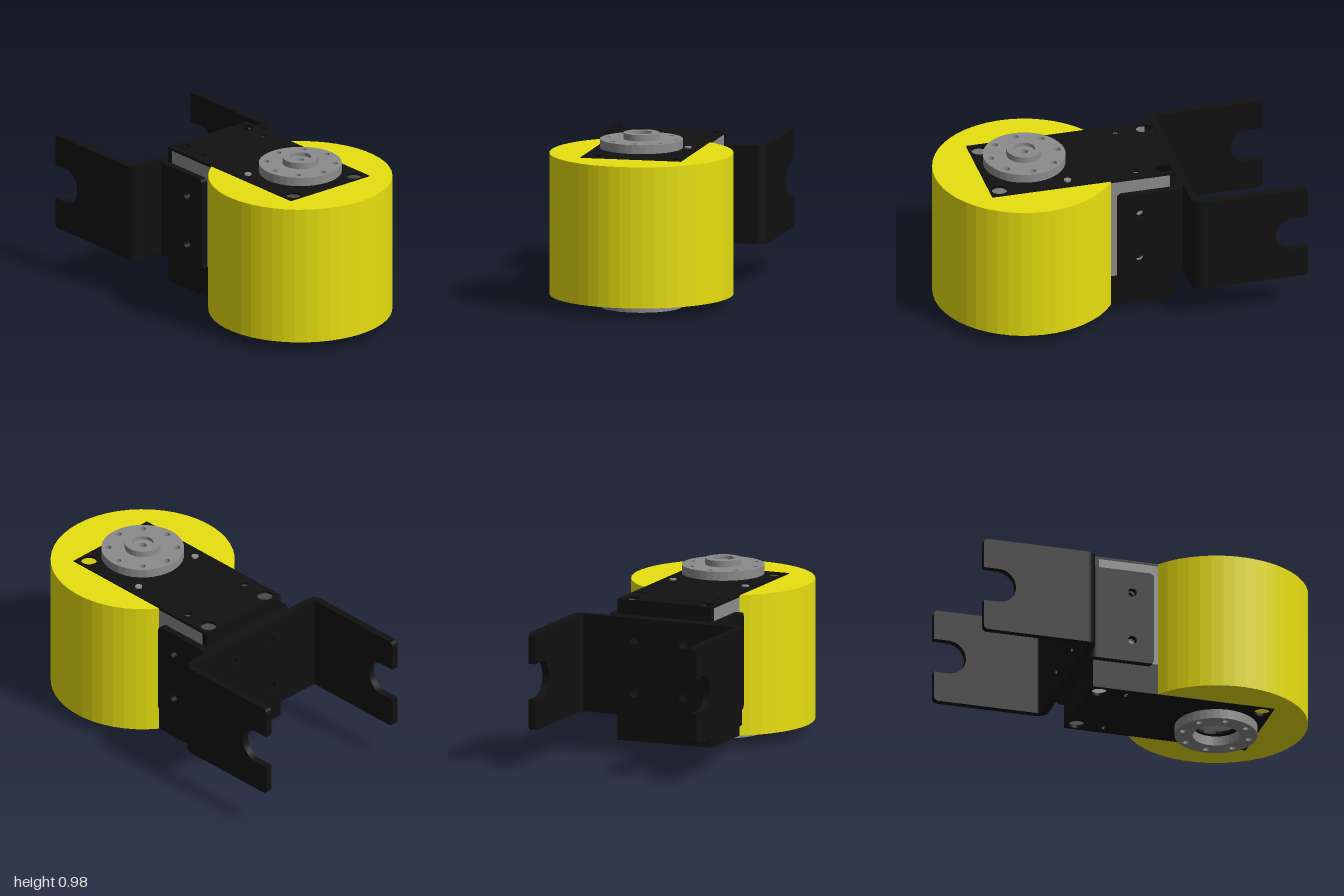
import * as THREE from 'three';

const mat = (color) => new THREE.MeshStandardMaterial({ color });
const BLACK = mat(0x111111), GREY = mat(0x8c8c8c), YELLOW = mat(0xe8e010);
const MID_Y = 0.505, AXIS_X = 0.49;

function add(parent, name, geometry, material) {
  const mesh = new THREE.Mesh(geometry, material);
  mesh.name = name;
  parent.add(mesh);
  return mesh;
}

const extrude = (shape, depth, curveSegments = 12) =>
  new THREE.ExtrudeGeometry(shape, { depth, curveSegments, bevelEnabled: false });

// Extrude a plan (x, z) shape upwards from y0 to y1
const slab = (shape, y0, y1, segments) =>
  extrude(shape, y1 - y0, segments).rotateX(-Math.PI / 2).translate(0, y0, 0);

function box(x0, x1, y0, y1, z0, z1) {
  return new THREE.BoxGeometry(x1 - x0, y1 - y0, z1 - z0)
    .translate((x0 + x1) / 2, (y0 + y1) / 2, (z0 + z1) / 2);
}

function rect(x0, x1, y0, y1) {
  return new THREE.Shape([[x0, y0], [x1, y0], [x1, y1], [x0, y1]].map((p) => new THREE.Vector2(...p)));
}

function hole(shape, x, y, r) {
  shape.holes.push(new THREE.Path().absarc(x, y, r, 0, Math.PI * 2, true));
}

function ring(outer, inner) {
  const shape = new THREE.Shape().absarc(0, 0, outer, 0, Math.PI * 2, false);
  hole(shape, 0, 0, inner);
  return shape;
}

// Horn plate with a circle of eight screw holes
function hornShape(inner) {
  const shape = ring(0.23, inner);
  for (let i = 0; i < 8; i++) {
    const a = (i * Math.PI) / 4;
    hole(shape, 0.19 * Math.cos(a), 0.19 * Math.sin(a), 0.018);
  }
  return shape;
}

// Bent sheet bracket: base at x = 0, arms pointing to +x
function bracket(name, { length, half, r, slotX, holes = [] }) {
  const group = new THREE.Group();
  group.name = name;
  const t = 0.04, h = 0.275, c = 0.03, slotR = 0.1;

  const arm = new THREE.Shape();
  arm.moveTo(r, -h);
  arm.lineTo(length - c, -h);
  arm.quadraticCurveTo(length, -h, length, -h + c);
  if (slotX) {
    arm.lineTo(length, -slotR);
    arm.lineTo(slotX, -slotR);
    arm.absarc(slotX, 0, slotR, -Math.PI / 2, Math.PI / 2, true);
    arm.lineTo(length, slotR);
  }
  arm.lineTo(length, h - c);
  arm.quadraticCurveTo(length, h, length - c, h);
  arm.lineTo(r, h);
  arm.closePath();
  holes.forEach(([x, y]) => hole(arm, x, y, 0.025));

  for (const s of [1, -1]) {
    add(group, 'bracketArm', extrude(arm, t).translate(0, 0, s > 0 ? half - t : -half), BLACK);
    // Rounded bend between arm and base
    const a = s > 0 ? Math.PI / 2 : Math.PI, cy = s * (half - r);
    const bend = new THREE.Shape();
    bend.absarc(r, cy, r, a, a + Math.PI / 2, false);
    bend.absarc(r, cy, r - t, a + Math.PI / 2, a, true);
    bend.closePath();
    add(group, 'bracketBend', slab(bend, -h, h, 6), BLACK);
  }

  const base = rect(-(half - r), half - r, -h, h);
  for (const y of [-0.15, 0.15]) for (const z of [-0.15, 0.15]) hole(base, z, y, 0.025);
  add(group, 'bracketBase', extrude(base, t).rotateY(Math.PI / 2), BLACK);
  group.position.set(-0.345, MID_Y, 0);
  return group;
}

export function createModel() {
  const model = new THREE.Group();
  model.name = 'servoJoint';

  // Round cover with a rectangular pocket open towards the brackets
  const R = 0.51, pz = 0.288, px = 0.748;
  const a = Math.PI - Math.asin(pz / R);
  const plan = new THREE.Shape();
  plan.absarc(AXIS_X, 0, R, -a, a, false);
  plan.lineTo(px, pz);
  plan.lineTo(px, -pz);
  plan.closePath();
  add(model, 'roundCover', slab(plan, 0.07, 0.862, 20), YELLOW);

  // Hollow motor case: end plates pierced by corner holes
  const motor = new THREE.Group();
  motor.name = 'motorCase';
  model.add(motor);
  const plate = (bore) => {
    const shape = rect(-0.305, 0.745, -0.285, 0.285);
    for (const z of [-0.22, 0.22]) {
      hole(shape, -0.25, z, 0.045);
      hole(shape, 0.69, z, 0.045);
      hole(shape, -0.09, z, 0.02);
    }
    hole(shape, AXIS_X, 0, bore);
    return shape;
  };
  add(motor, 'topPlate', slab(plate(0.022), 0.85, 0.865), BLACK);
  add(motor, 'bottomPlate', slab(plate(0.13), 0.069, 0.085), BLACK);
  add(motor, 'endWall', box(-0.305, -0.297, 0.085, 0.85, -0.285, 0.285), BLACK);

  // Side walls: grey upper part, black lower part and corner strip
  const wall = rect(-0.27, 0.745, 0.25, 0.85);
  for (const y of [0.36, 0.65]) hole(wall, -0.09, y, 0.025);
  for (const s of [1, -1]) {
    const z0 = s > 0 ? 0.27 : -0.285;
    add(motor, 'sideWall', extrude(wall, 0.015).translate(0, 0, z0), GREY);
    add(motor, 'lowerSide', box(-0.305, 0.745, 0.085, 0.25, z0, z0 + 0.015), BLACK);
    add(motor, 'cornerStrip', box(-0.305, -0.27, 0.25, 0.85, z0, z0 + 0.015), BLACK);
    // Small case screws beside the output horn
    const screw = new THREE.CylinderGeometry(0.02, 0.02, 0.01, 12);
    add(motor, 'caseScrew', screw.translate(0.3, 0.868, s * 0.22), GREY);
  }

  // Output horn with hollow shaft and raised hub, idler ring underneath
  const horns = new THREE.Group();
  horns.name = 'horns';
  horns.position.x = AXIS_X;
  model.add(horns);
  add(horns, 'shaft', slab(ring(0.028, 0.022), 0.86, 0.89), GREY);
  add(horns, 'outputHorn', slab(hornShape(0.022), 0.89, 0.94, 18), GREY);
  add(horns, 'hornHub', slab(ring(0.1, 0.06), 0.94, 0.975, 16), GREY);
  add(horns, 'hubSeat', slab(ring(0.06, 0.022), 0.94, 0.955), GREY);
  add(horns, 'idlerRing', slab(hornShape(0.13), 0, 0.055, 18), GREY);

  // Inner bracket grips the motor; outer bracket faces away from it
  model.add(bracket('motorBracket', {
    length: 0.38, half: 0.33, r: 0.05, holes: [[0.255, -0.145], [0.255, 0.145]],
  }));
  const outer = bracket('linkBracket', { length: 0.655, half: 0.51, r: 0.06, slotX: 0.57 });
  outer.rotation.y = Math.PI;
  model.add(outer);

  return model;
}
